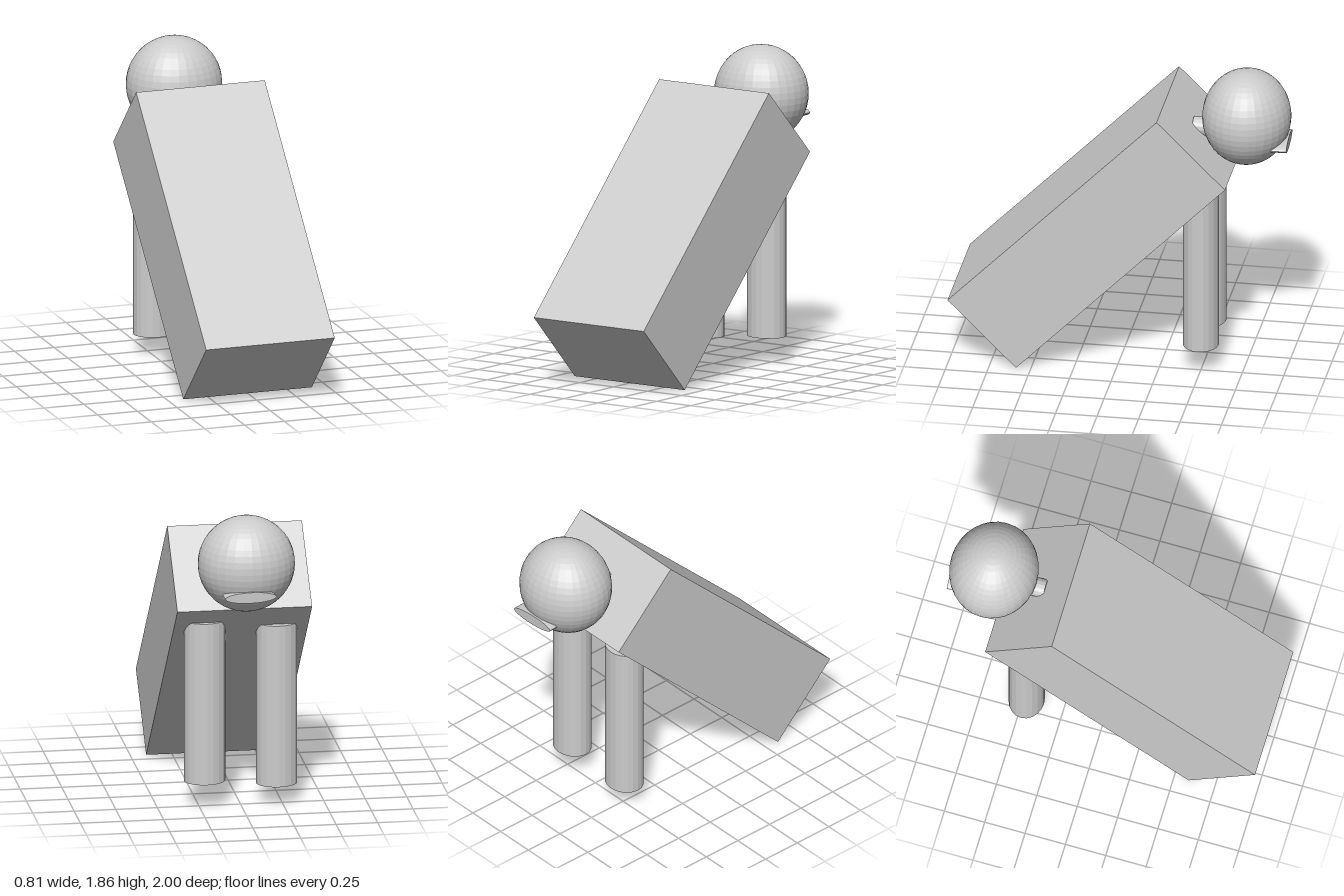
import * as THREE from 'three';

export function createModel() {
  const model = new THREE.Group();
  const material = new THREE.MeshStandardMaterial({ color: 0xcccccc, flatShading: true });

  function add(name, geometry, x, y, z) {
    const mesh = new THREE.Mesh(geometry, material);
    mesh.name = name;
    mesh.position.set(x, y, z);
    model.add(mesh);
    return mesh;
  }

  // Block body, leaning back at 45 degrees
  const body = add('body', new THREE.BoxGeometry(0.81, 1.782, 0.583), 0, 0.84, 0.165);
  body.rotation.x = -Math.PI / 4;

  // Slightly flattened round head
  const head = add('head', new THREE.SphereGeometry(1, 32, 24), 0, 1.57, -0.735);
  head.scale.set(0.29, 0.29, 0.265);

  // Short neck peg joining the head and the body
  const peg = new THREE.CylinderGeometry(0.058, 0.058, 0.25, 16).rotateX(Math.PI / 2);
  add('neck', peg, 0, 1.482, -0.54);

  // Flat oval mouth pushed out of the head
  const oval = new THREE.CylinderGeometry(1, 1, 0.2, 24).rotateX(Math.PI / 2);
  oval.scale(0.155, 0.033, 1);
  const mouth = add('mouth', oval, 0.015, 1.43, -0.893);
  mouth.rotation.y = 0.045;

  // Two upright oval legs at slightly different heights
  const leg = new THREE.CylinderGeometry(1, 1, 1, 20).scale(0.124, 1, 0.107);
  add('leftLeg', leg, 0.215, 0.66, -0.495);
  add('rightLeg', leg, -0.222, 0.62, -0.467);

  return model;
}
